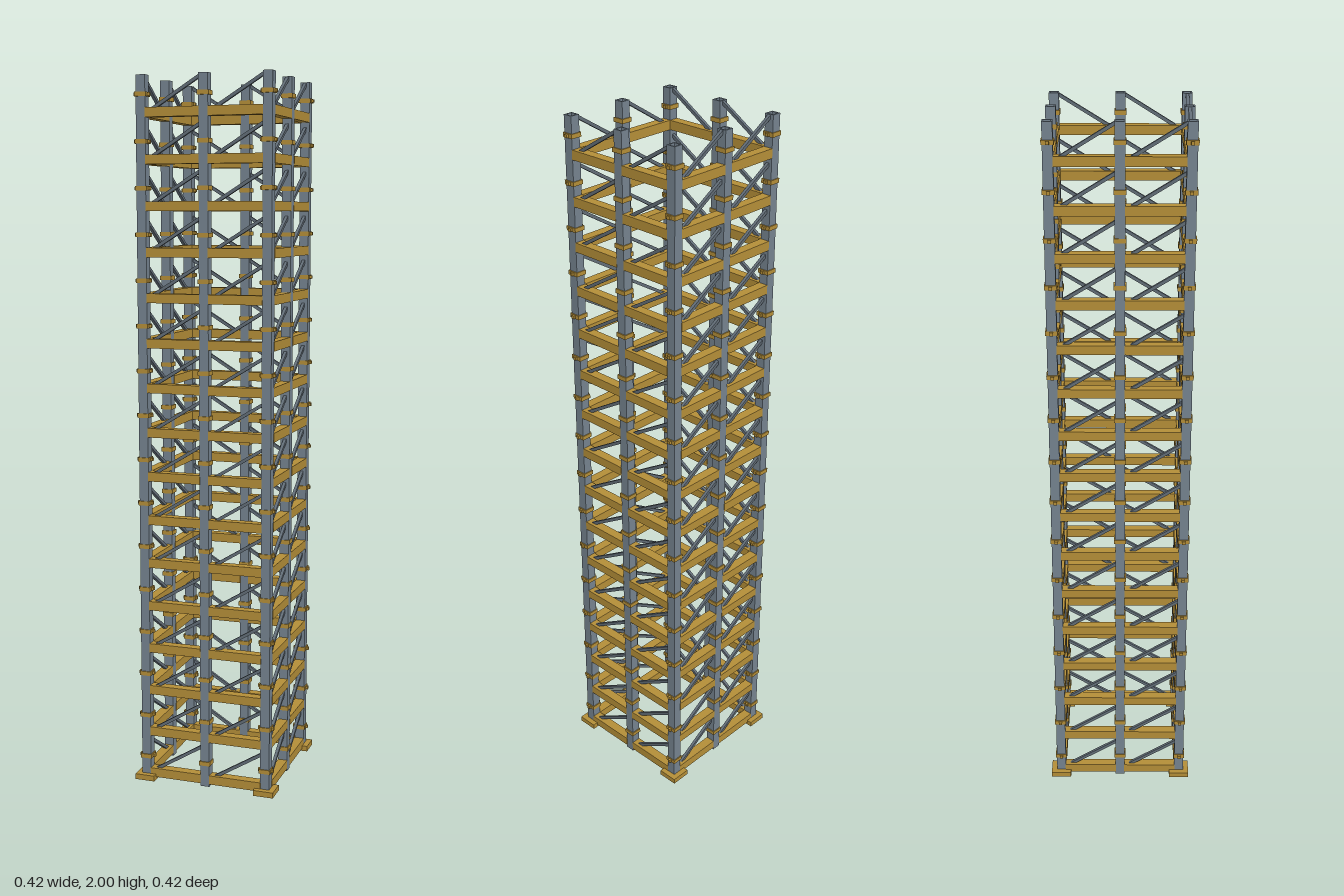
import * as THREE from 'three';

const HALF = 0.18;      // distance from centre to post axes
const LEVELS = 16;
const STEP = 0.1253;
const FIRST = 0.021;    // centre height of the lowest beams
const POST = 0.027;     // post width

const mat = (name, color) => {
  const m = new THREE.MeshStandardMaterial({ color });
  m.name = name;
  return m;
};

// Square ring standing upright, open through the middle
function squareTube(outer, inner, height) {
  const square = (T, s) => {
    const p = new T();
    p.moveTo(-s, -s);
    p.lineTo(s, -s);
    p.lineTo(s, s);
    p.lineTo(-s, s);
    p.closePath();
    return p;
  };
  const shape = square(THREE.Shape, outer / 2);
  shape.holes.push(square(THREE.Path, inner / 2));
  const g = new THREE.ExtrudeGeometry(shape, { depth: height, bevelEnabled: false });
  g.rotateX(-Math.PI / 2);
  return g;
}

export function createModel() {
  const tower = new THREE.Group();
  tower.name = 'scaffoldTower';
  const gold = mat('ochre', 0xb48e38);
  const steel = mat('steel blue grey', 0x75838f);
  const dark = mat('brace grey', 0x626d77);

  const add = (parent, name, geo, material, x, y, z) => {
    const m = new THREE.Mesh(geo, material);
    m.name = name;
    m.position.set(x, y, z);
    parent.add(m);
    return m;
  };

  const postGeo = squareTube(POST, 0.019, 2);
  const collarGeo = squareTube(0.033, POST - 0.001, 0.012);
  const beamGeo = new THREE.BoxGeometry(HALF - POST + 0.002, 0.026, 0.028);
  const plateGeo = new THREE.BoxGeometry(0.059, 0.016, 0.059);
  const pinGeo = new THREE.BoxGeometry(0.046, 0.009, 0.009);

  // Diagonal brace running from a beam up to the next post
  const low = new THREE.Vector2(0.015, 0);
  const high = new THREE.Vector2(0.17, 0.095);
  const run = high.clone().sub(low);
  const braceGeo = new THREE.BoxGeometry(run.length(), 0.009, 0.009);
  braceGeo.rotateZ(run.angle());

  // Four identical sides turned around the centre
  for (let s = 0; s < 4; s++) {
    const side = new THREE.Group();
    side.name = ['frontSide', 'leftSide', 'backSide', 'rightSide'][s];
    side.rotation.y = s * Math.PI / 2;
    tower.add(side);

    add(side, 'cornerPost', postGeo, steel, HALF, 0, HALF);
    add(side, 'middlePost', postGeo, steel, 0, 0, HALF);
    add(side, 'basePlate', plateGeo, gold, HALF, 0.008, HALF);

    for (let i = 0; i < LEVELS; i++) {
      const y = FIRST + i * STEP;
      for (const x0 of [-HALF, 0]) {
        add(side, 'beam', beamGeo, gold, x0 + HALF / 2, y, HALF);
        add(side, 'diagonalBrace', braceGeo, dark,
          x0 + (low.x + high.x) / 2, y + (low.y + high.y) / 2, HALF);
        add(side, 'collar', collarGeo, gold, x0 + HALF, y + 0.042, HALF);
      }
    }
  }

  // Locking pins through the corner posts
  for (const x of [-HALF, HALF])
    for (const z of [-HALF, HALF])
      for (let i = 0; i < LEVELS; i++)
        add(tower, 'lockingPin', pinGeo, gold, x, FIRST + i * STEP + 0.048, z);

  return tower;
}
